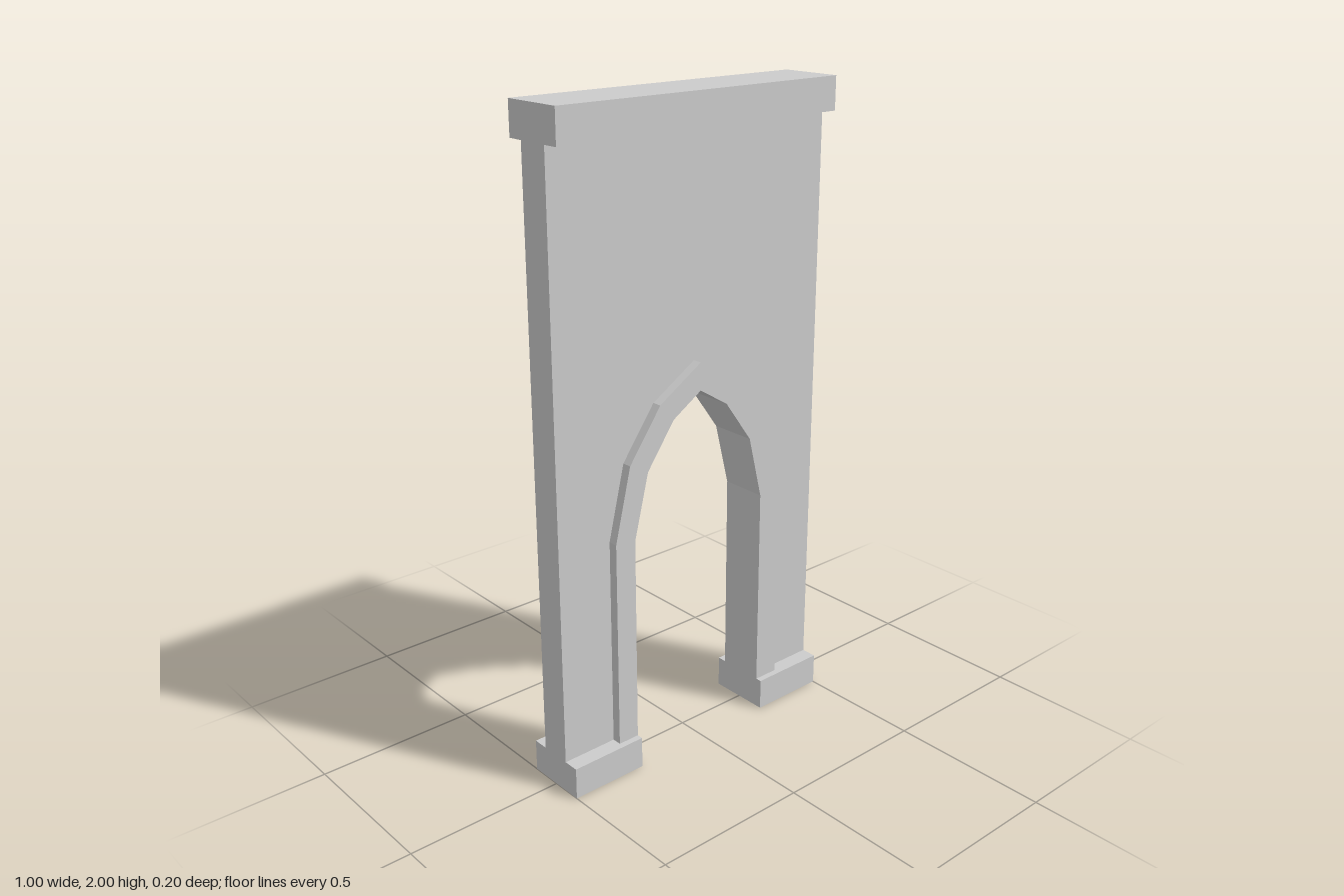
import * as THREE from 'three';

const material = new THREE.MeshStandardMaterial({ color: 0xcccccc, flatShading: true });

// Pointed arch outlines, from the left foot over the apex to the right foot
const inner = [[-0.25, 0.1], [-0.25, 0.75], [-0.2, 0.95], [-0.103, 1.085], [0, 1.15],
  [0.103, 1.085], [0.2, 0.95], [0.25, 0.75], [0.25, 0.1]];
const outer = [[-0.32, 0.1], [-0.32, 0.757], [-0.265, 0.985], [-0.153, 1.14], [0, 1.235],
  [0.14, 1.142], [0.27, 0.985], [0.333, 0.747], [0.333, 0.1]];

// Solid with the given outline between two depths
function slab(name, points, zBack, zFront) {
  const shape = new THREE.Shape(points.map(([x, y]) => new THREE.Vector2(x, y)));
  const geometry = new THREE.ExtrudeGeometry(shape, { depth: zFront - zBack, bevelEnabled: false });
  geometry.translate(0, 0, zBack);
  const mesh = new THREE.Mesh(geometry, material);
  mesh.name = name;
  return mesh;
}

function block(name, width, height, depth, x, y) {
  const mesh = new THREE.Mesh(new THREE.BoxGeometry(width, height, depth), material);
  mesh.name = name;
  mesh.position.set(x, y, 0);
  return mesh;
}

export function createModel() {
  const group = new THREE.Group();
  group.name = 'archedWall';

  // Wall panel fitted around the arch trim
  const wall = [[-0.5, 0.1], ...outer, [0.5, 0.1], [0.5, 1.9], [-0.5, 1.9]];
  group.add(slab('wall', wall, -0.05, 0.05));

  // Raised trim lining the opening, slightly prouder at the front
  group.add(slab('archTrim', [...outer, ...[...inner].reverse()], -0.07, 0.08));

  // Top cornice
  group.add(block('cornice', 1, 0.1, 0.2, 0, 1.95));

  // Plinths under the two piers
  for (const [name, side] of [['leftPlinth', 1], ['rightPlinth', -1]]) {
    group.add(block(name, 0.25, 0.1, 0.2, side * 0.375, 0.05));
  }
  return group;
}
